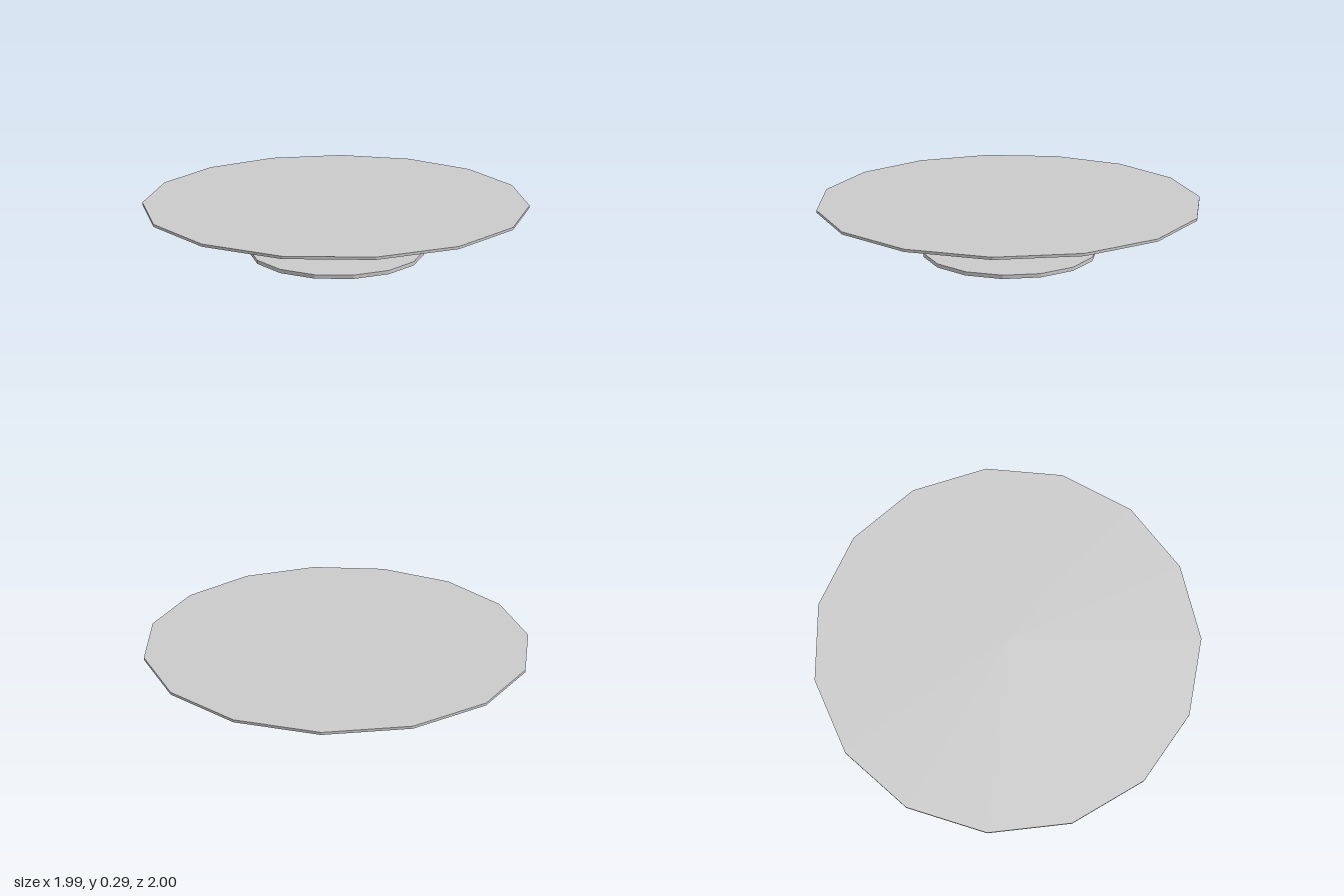
import * as THREE from 'three';

const SIDES = 15;

export function createModel() {
  const group = new THREE.Group();
  group.name = 'pedestalTable';
  const material = new THREE.MeshStandardMaterial({ color: 0xcccccc, flatShading: true });

  // Turned part with a corner on +x, centred on its bounding box
  function addTurned(name, profile) {
    const points = profile.map(([r, y]) => new THREE.Vector2(r, y));
    const geometry = new THREE.LatheGeometry(points, SIDES, Math.PI / 2);
    geometry.computeBoundingBox();
    const { min, max } = geometry.boundingBox;
    geometry.translate(-(min.x + max.x) / 2, 0, 0);
    const mesh = new THREE.Mesh(geometry, material);
    mesh.name = name;
    group.add(mesh);
  }

  const disc = (r, y0, y1) => [[0, y0], [r, y0], [r, y1], [0, y1]];

  // Broad thin top and the smaller floor plate
  addTurned('tableTop', disc(1.005, 0.275, 0.288));
  addTurned('basePlate', disc(0.464, 0, 0.02));

  // Slim column
  addTurned('column', disc(0.016, 0.02, 0.275));

  // Flared collar where the column meets the plate
  addTurned('baseCollar', [
    [0.036, 0.02], [0.03, 0.027], [0.023, 0.037], [0.027, 0.043],
    [0.027, 0.06], [0.022, 0.064], [0.016, 0.064],
  ]);

  // Small bracket cone under the top
  addTurned('topCollar', [[0.016, 0.26], [0.022, 0.262], [0.036, 0.271], [0.036, 0.275]]);

  return group;
}
